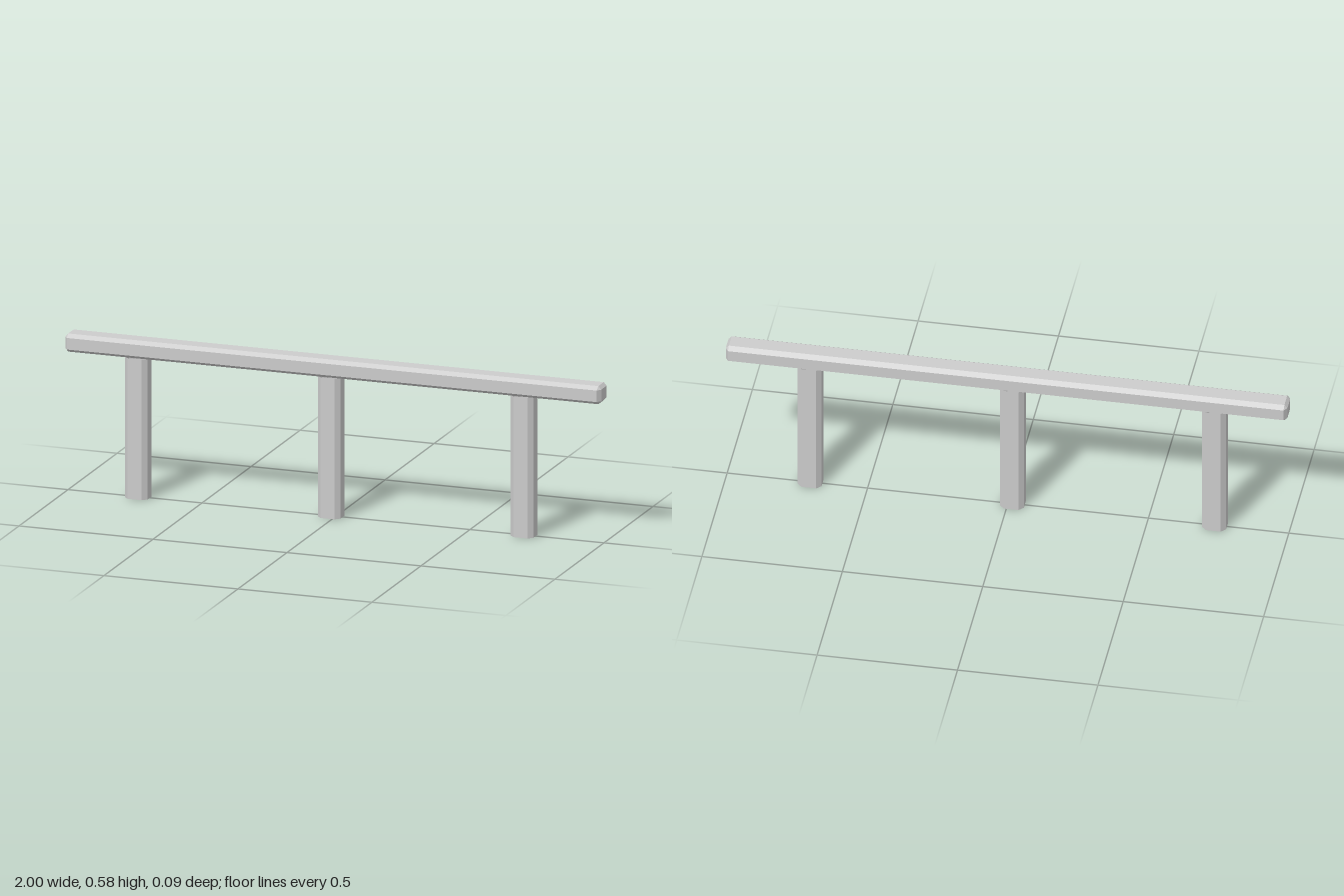
import * as THREE from 'three';
import { ConvexGeometry } from 'three/addons/geometries/ConvexGeometry.js';

// Box with every edge cut off: each corner becomes three points
function chamferedBox(hx, hy, hz, cx, cy, cz) {
  const points = [];
  for (const x of [-1, 1]) for (const y of [-1, 1]) for (const z of [-1, 1]) {
    points.push(
      new THREE.Vector3(x * hx, y * (hy - cy), z * (hz - cz)),
      new THREE.Vector3(x * (hx - cx), y * hy, z * (hz - cz)),
      new THREE.Vector3(x * (hx - cx), y * (hy - cy), z * hz)
    );
  }
  return new ConvexGeometry(points);
}

// Open rectangular tube with chamfered vertical corners
function chamferedTube(hx, hz, c, height) {
  const tube = new THREE.CylinderGeometry(1, 1, height, 8, 1, true, Math.PI / 8);
  const p = tube.attributes.position;
  const snap = (v, h) => Math.sign(v) * (Math.abs(v) > 0.6 ? h : h - c);
  for (let i = 0; i < p.count; i++) {
    p.setX(i, snap(p.getX(i), hx));
    p.setZ(i, snap(p.getZ(i), hz));
  }
  const flat = tube.toNonIndexed();
  flat.computeVertexNormals();
  return flat.translate(0, height / 2, 0);
}

export function createModel() {
  const model = new THREE.Group();
  model.name = 'railing';
  const steel = new THREE.MeshStandardMaterial({ color: 0xcccccc, flatShading: true, side: THREE.DoubleSide });
  steel.name = 'light grey metal';

  // Long bevelled rail
  const rail = new THREE.Mesh(chamferedBox(1, 0.033, 0.0445, 0.011, 0.012, 0.017), steel);
  rail.name = 'topRail';
  rail.position.y = 0.544;
  model.add(rail);

  // Three hollow posts
  const postGeometry = chamferedTube(0.0425, 0.037, 0.0165, 0.512);
  ['rightPost', 'middlePost', 'leftPost'].forEach((name, i) => {
    const post = new THREE.Mesh(postGeometry, steel);
    post.name = name;
    post.position.set(-0.737 + i * 0.72, 0, 0.003);
    model.add(post);
  });
  return model;
}
